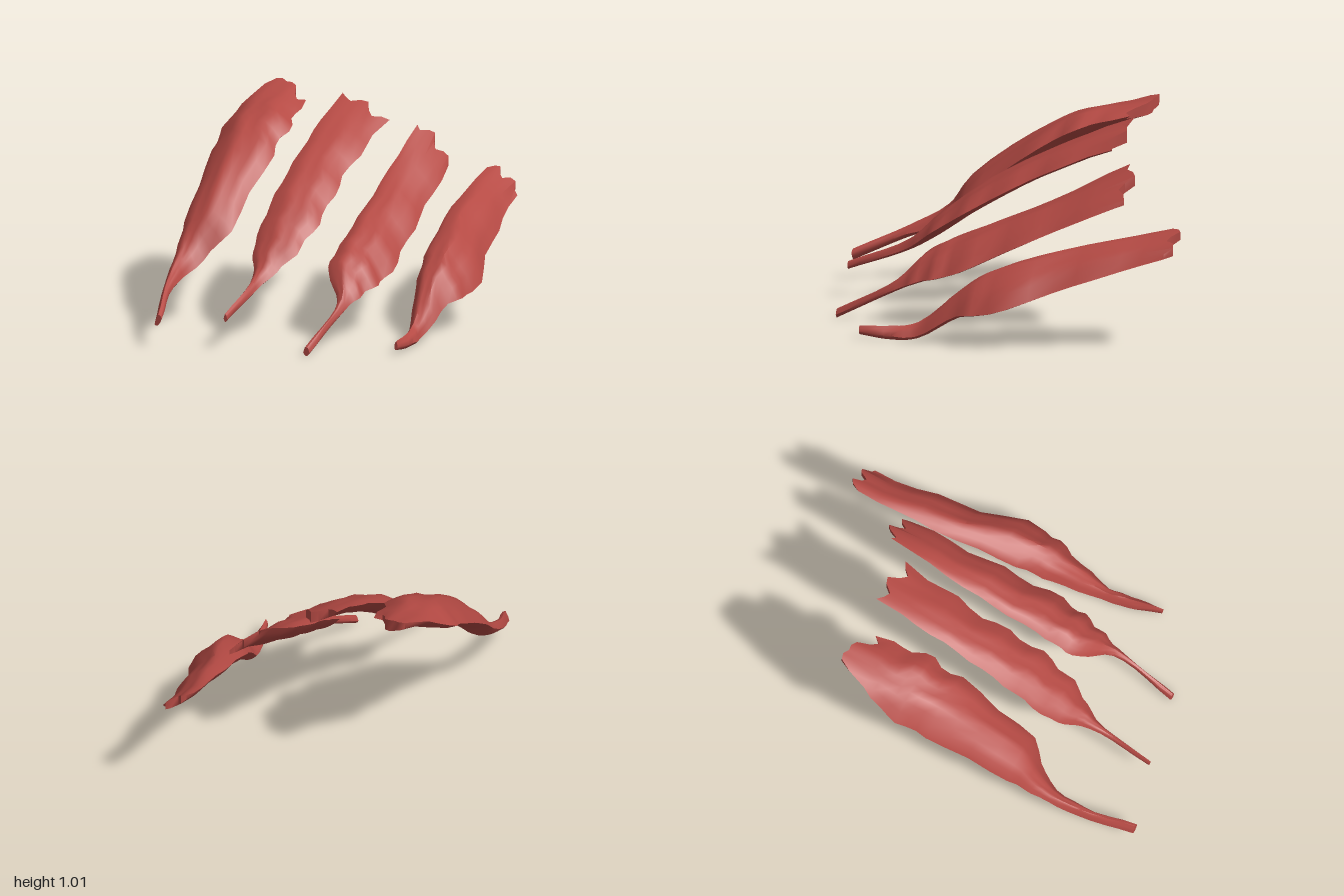
import * as THREE from 'three';
import { toCreasedNormals } from 'three/addons/utils/BufferGeometryUtils.js';

const SEG = 8; // segments across the top of a strip
const LOOP = SEG * 2;
const STEPS = 24; // cross-sections along a strip

const edgeCurve = (points) =>
  new THREE.CatmullRomCurve3(points.map((p) => new THREE.Vector3(...p)), false, 'centripetal');

// Lofts a flat arched strip from tendon tip (+z) to torn rear end (-z).
// rows: [z, left edge x, y, right edge x, y]; arch: height over width;
// peak: how far the rear end reaches back; phase: varies the ragged edges
function strip({ rows, arch, peak, phase }) {
  const leftEdge = edgeCurve(rows.map(([z, x, y]) => [x, y, z]));
  const rightEdge = edgeCurve(rows.map(([z, , , x, y]) => [x, y, z]));
  const pos = [], idx = [];

  for (let i = 0; i <= STEPS; i++) {
    const t = i / STEPS;
    const left = leftEdge.getPoint(t), right = rightEdge.getPoint(t);
    const width = right.x - left.x;
    // ragged long edges, rougher on one side
    left.x += 0.02 * width * Math.sin(i * 1.9 + phase);
    right.x += 0.05 * width * Math.sin(i * 1.7 + phase * 2);
    const top = (0.02 + arch * width) * (1 - 0.8 * t ** 4);
    const belly = 0.012 + 0.13 * width;
    for (let k = 0; k < LOOP; k++) {
      const over = k <= SEG;
      const j = over ? k : LOOP - k;
      const u = j / SEG;
      const bulge = Math.max(0, Math.sin(Math.PI * u)) ** 0.75;
      // shallow lengthwise grooves between fibres
      const groove = 1 + 0.1 * Math.sin(u * 15 + i * 0.5 + phase);
      const p = left.clone().lerp(right, u);
      p.y += bulge * (over ? top * groove : -belly);
      // jagged rear end
      if (i === STEPS) {
        const back = 0.03 + 0.03 * Math.sin(j * 1.6 + phase)
          + peak * Math.exp(-(((u - 0.35) / 0.25) ** 2));
        p.z -= back;
        p.y += back * 0.25;
      }
      pos.push(p.x, p.y, p.z);
    }
  }

  // skin
  for (let i = 0; i < STEPS; i++) {
    for (let k = 0; k < LOOP; k++) {
      const a = i * LOOP + k, b = i * LOOP + (k + 1) % LOOP;
      idx.push(a, b, a + LOOP, b, b + LOOP, a + LOOP);
    }
  }
  // end caps bridge the upper and lower surfaces
  const cap = (base, flip) => {
    const tri = (a, b, c) => idx.push(base + a, base + (flip ? c : b), base + (flip ? b : c));
    for (let j = 0; j < SEG; j++) {
      if (j < SEG - 1) tri(j, LOOP - j - 1, j + 1);
      if (j > 0) tri(j, LOOP - j, LOOP - j - 1);
    }
  };
  cap(0, false);
  cap(STEPS * LOOP, true);

  const geometry = new THREE.BufferGeometry();
  geometry.setAttribute('position', new THREE.Float32BufferAttribute(pos, 3));
  geometry.setIndex(idx);
  return toCreasedNormals(geometry, 0.9);
}

export function createModel() {
  const group = new THREE.Group();
  group.name = 'muscleStrips';
  const flesh = new THREE.MeshStandardMaterial({ color: 0xb54a44 });
  flesh.name = 'muscleRed';

  const addStrip = (name, shape) => {
    const mesh = new THREE.Mesh(strip(shape), flesh);
    mesh.name = name;
    group.add(mesh);
  };

  // broadest and highest strip
  addStrip('firstMuscleStrip', {
    arch: 0.3, peak: 0.1, phase: 0,
    rows: [
      [0.99, -0.4, 0.12, -0.36, 0.15],
      [0.74, -0.5, 0.25, -0.445, 0.25],
      [0.55, -0.55, 0.37, -0.437, 0.31],
      [0.4, -0.59, 0.49, -0.34, 0.47],
      [0, -0.68, 0.75, -0.345, 0.77],
      [-0.2, -0.715, 0.86, -0.36, 0.88],
      [-0.4, -0.66, 0.99, -0.42, 0.94],
    ],
  });

  addStrip('secondMuscleStrip', {
    arch: 0.17, peak: 0.03, phase: 1.7,
    rows: [
      [0.885, -0.075, 0.165, -0.055, 0.165],
      [0.58, -0.1, 0.3, -0.04, 0.28],
      [0.42, -0.19, 0.41, 0.03, 0.39],
      [0.2, -0.22, 0.6, 0.05, 0.53],
      [-0.1, -0.24, 0.79, 0.01, 0.7],
      [-0.46, -0.265, 0.97, 0, 0.87],
    ],
  });

  addStrip('thirdMuscleStrip', {
    arch: 0.25, peak: 0.02, phase: 3.4,
    rows: [
      [0.78, 0.31, 0.025, 0.345, 0.025],
      [0.47, 0.31, 0.2, 0.357, 0.18],
      [0.33, 0.175, 0.33, 0.385, 0.24],
      [0.16, 0.15, 0.43, 0.405, 0.29],
      [-0.19, 0.115, 0.6, 0.345, 0.46],
      [-0.62, 0.085, 0.84, 0.265, 0.66],
    ],
  });

  // lowest strip, steeply tilted and strongly arched
  addStrip('fourthMuscleStrip', {
    arch: 0.42, peak: 0, phase: 5.1,
    rows: [
      [0.52, 0.665, 0.04, 0.685, 0.045],
      [0.36, 0.61, 0.025, 0.67, 0.03],
      [0.24, 0.575, 0.055, 0.65, 0.035],
      [0.02, 0.48, 0.22, 0.67, 0.16],
      [-0.15, 0.425, 0.33, 0.7, 0.19],
      [-0.55, 0.335, 0.49, 0.56, 0.34],
      [-0.95, 0.285, 0.6, 0.45, 0.48],
    ],
  });

  return group;
}
